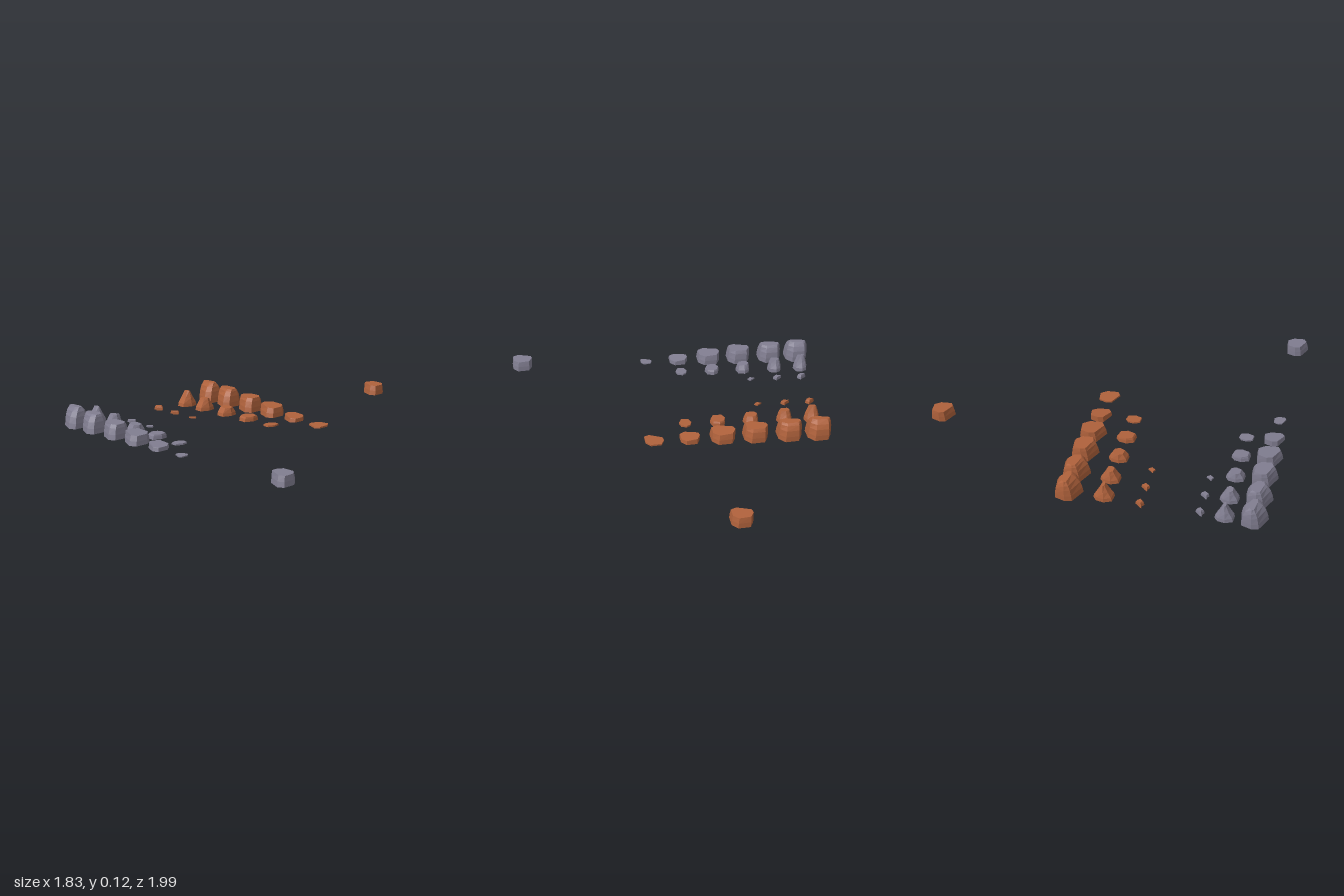
import * as THREE from 'three';

// Per kind: base outline in a unit box, clockwise from above as [x, z];
// height profile as [y, width scale, depth scale]; top lean in x and z
const LARGE = {
  outline: [[-0.35, -0.43], [0.2, -0.5], [0.46, -0.2], [0.5, 0.36], [0.24, 0.5], [-0.43, 0.22], [-0.5, -0.04]],
  profile: [[0, 1, 1], [0.03, 0.99, 0.96], [0.065, 0.95, 0.84], [0.092, 0.88, 0.62], [0.115, 0.74, 0.28]],
  lean: -0.06,
};
const MEDIUM = {
  outline: [[-0.4, -0.32], [-0.1, -0.5], [0.35, -0.42], [0.5, 0], [0.3, 0.46], [-0.3, 0.42], [-0.5, 0.05]],
  profile: [[0, 1, 1], [0.02, 0.97, 0.92], [0.05, 0.8, 0.56], [0.09, 0.48, 0.17]],
  lean: -0.03,
};
const SMALL = {
  outline: [[-0.15, -0.15], [0.12, -0.5], [0.5, -0.05], [0.3, 0.2], [0.1, 0.5], [-0.2, 0.28], [-0.5, 0.3], [-0.35, 0.05]],
  profile: [[0, 1, 1], [0.015, 0.9, 0.9], [0.026, 0.7, 0.6]],
  lean: 0,
};

// Profile rings below height h, plus one cut exactly at h
function cutProfile(profile, h) {
  const next = profile.findIndex(([y]) => y >= h);
  const a = profile[next - 1], b = profile[next];
  const t = (h - a[0]) / (b[0] - a[0]);
  return [...profile.slice(0, next), a.map((v, k) => v + (b[k] - v) * t)];
}

// Faceted closed rock, its flat top sloping down toward +x by tilt
function rockGeometry({ outline, profile, lean }, width, depth, height, tilt) {
  const n = outline.length;
  const rings = cutProfile(profile, height);
  const last = rings.length - 1;
  const fullHeight = profile[profile.length - 1][0];
  const positions = [], index = [];
  for (const [y, sx, sz] of rings) {
    const shift = lean * (y / fullHeight);
    for (const [x, z] of outline) {
      positions.push((x * sx + shift) * width, y * (1 - tilt * (x + 0.5)), (z * sz + shift) * depth);
    }
  }
  const topShift = lean * (height / fullHeight);
  const bottom = n * rings.length, top = bottom + 1;
  positions.push(0, 0, 0, topShift * width, height * (1 - tilt / 2), topShift * depth);
  for (let i = 0; i < n; i++) {
    const j = (i + 1) % n;
    index.push(i, j, bottom, last * n + j, last * n + i, top);
    for (let r = 0; r < last; r++) {
      const a = r * n + i, b = r * n + j;
      index.push(b, a, a + n, b, a + n, b + n);
    }
  }
  const indexed = new THREE.BufferGeometry();
  indexed.setAttribute('position', new THREE.Float32BufferAttribute(positions, 3));
  indexed.setIndex(index);
  const geometry = indexed.toNonIndexed();
  geometry.computeVertexNormals();
  return geometry;
}

// Rows of rocks worn down toward +x: each stage is [x, width, height, tilt]
const ROWS = [
  { name: 'largeRock', kind: LARGE, ratio: 1.04, stages: [
    [-0.83, 0.139, 0.115, 0], [-0.662, 0.139, 0.105, 0.03], [-0.469, 0.139, 0.085, 0.04],
    [-0.283, 0.139, 0.065, 0.18], [-0.096, 0.112, 0.035, 0.4]] },
  { name: 'mediumRock', kind: MEDIUM, ratio: 1.25, stages: [
    [-0.82, 0.09, 0.09, 0], [-0.66, 0.09, 0.07, 0], [-0.465, 0.09, 0.05, 0.1],
    [-0.275, 0.09, 0.03, 0.1], [-0.087, 0.072, 0.009, 0]] },
  { name: 'smallRock', kind: SMALL, ratio: 0.87, stages: [
    [-0.843, 0.056, 0.026, 0], [-0.695, 0.054, 0.018, 0], [-0.535, 0.045, 0.008, 0]] },
];

export function createModel() {
  const model = new THREE.Group();
  const copper = new THREE.MeshStandardMaterial({ color: 0xb0623c });
  copper.name = 'copper brown';
  const stone = new THREE.MeshStandardMaterial({ color: 0x817e91 });
  stone.name = 'stone grey';

  function addRock(parent, name, material, kind, x, z, width, depth, height, tilt) {
    const rock = new THREE.Mesh(rockGeometry(kind, width, depth, height, tilt), material);
    rock.name = name;
    rock.position.set(x, 0, z);
    parent.add(rock);
  }

  // One set per colour: row depths z, sideways shifts and sizes per row
  const sets = [
    { name: 'copper', material: copper, z: [-0.067, 0.122, 0.317], shift: [0, 0, 0], size: [1, 1, 1] },
    { name: 'stone', material: stone, z: [0.92, 0.768, 0.635], shift: [-0.017, -0.033, 0], size: [0.985, 0.95, 1] },
  ];
  for (const set of sets) {
    ROWS.forEach(({ name, kind, ratio, stages }, r) => {
      const row = new THREE.Group();
      row.name = `${set.name} ${name} row`;
      stages.forEach(([x, width, height, tilt], i) => {
        const w = width * set.size[r];
        addRock(row, `${name}${i + 1}`, set.material, kind, x + set.shift[r], set.z[r], w, w * ratio, height, tilt);
      });
      model.add(row);
    });
  }

  // Thin slabs at the ends of the large rows
  addRock(model, 'copperSlab', copper, LARGE, 0.105, -0.065, 0.11, 0.116, 0.009, 0);
  addRock(model, 'stoneSlab', stone, LARGE, 0.085, 0.924, 0.07, 0.068, 0.006, 0);

  // Single rocks standing apart
  addRock(model, 'copperLoneRock', copper, LARGE, -0.285, -0.937, 0.12, 0.126, 0.062, 0.1);
  addRock(model, 'stoneLoneRock', stone, LARGE, 0.85, 0.923, 0.12, 0.126, 0.062, 0.1);
  return model;
}
